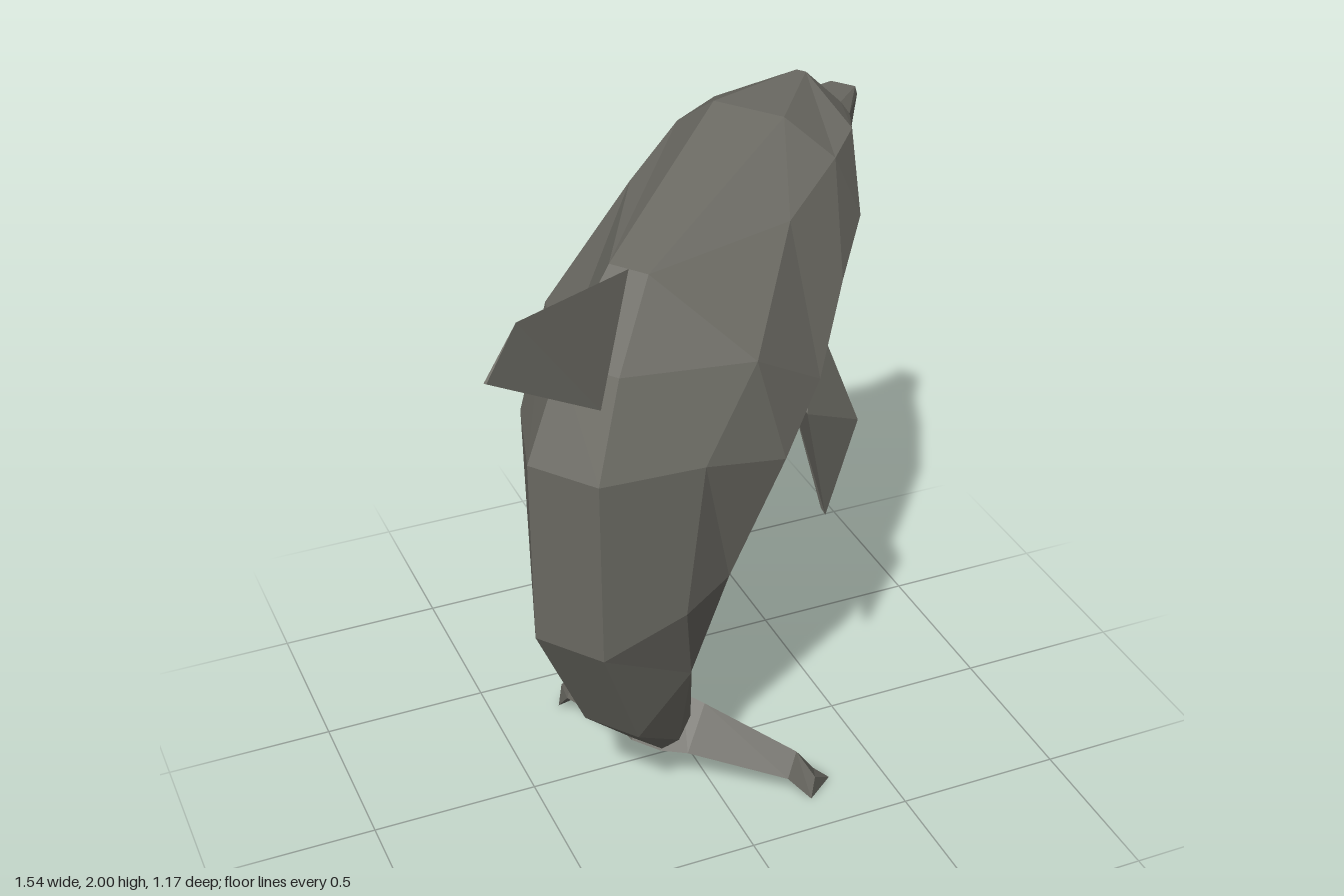
import * as THREE from 'three';

const material = new THREE.MeshStandardMaterial({ color: 0x6a6962, flatShading: true });

// Skins a row of closed rings of [x, y, z] points, with fan caps at both ends.
function loft(name, rings) {
  const n = rings[0].length;
  const index = [];
  for (let r = 0; r < rings.length - 1; r++) {
    for (let i = 0; i < n; i++) {
      const a = r * n + i, b = r * n + (i + 1) % n;
      index.push(a, b, a + n, b, b + n, a + n);
    }
  }
  const last = (rings.length - 1) * n;
  for (let i = 1; i < n - 1; i++) {
    index.push(0, i + 1, i, last, last + i, last + i + 1);
  }

  // A negative volume means the faces point inwards, so turn them round.
  const points = rings.flat().map((p) => new THREE.Vector3(...p));
  let volume = 0;
  for (let i = 0; i < index.length; i += 3) {
    const [a, b, c] = [0, 1, 2].map((k) => points[index[i + k]]);
    volume += a.dot(b.clone().cross(c));
  }
  if (volume < 0) index.reverse();

  const indexed = new THREE.BufferGeometry().setFromPoints(points);
  indexed.setIndex(index);
  const geometry = indexed.toNonIndexed();
  geometry.computeVertexNormals();
  const mesh = new THREE.Mesh(geometry, material);
  mesh.name = name;
  return mesh;
}

export function createModel() {
  const model = new THREE.Group();
  model.name = 'dolphin';

  // Here x runs towards the snout and z across the body.
  const swimmer = new THREE.Group();
  swimmer.name = 'leapingBody';
  swimmer.rotation.y = Math.atan2(0.6, 0.8);
  model.add(swimmer);

  // Body: half sections from tail to snout; back, upper side, lower side, belly
  const sections = [
    [[-0.23, 0.17, 0.05], [-0.2, 0.2, 0.09], [-0.15, 0.26, 0.1], [-0.11, 0.3, 0.07]],
    [[-0.43, 0.37, 0.09], [-0.32, 0.57, 0.2], [-0.23, 0.5, 0.15], [-0.13, 0.46, 0.07]],
    [[-0.635, 0.78, 0.11], [-0.43, 0.86, 0.25], [-0.25, 0.89, 0.28], [-0.12, 0.74, 0.12]],
    [[-0.64, 1.34, 0.11], [-0.4, 1.33, 0.29], [-0.16, 1.26, 0.4], [0.05, 1.09, 0.24]],
    [[-0.5, 1.59, 0.09], [-0.2, 1.56, 0.33], [0.05, 1.4, 0.39], [0.35, 1.26, 0.18]],
    [[-0.3, 1.79, 0.06], [0.12, 1.81, 0.25], [0.25, 1.6, 0.35], [0.47, 1.38, 0.17]],
    [[0.34, 1.995, 0.11], [0.38, 1.89, 0.25], [0.45, 1.7, 0.3], [0.58, 1.5, 0.15]],
    [[0.65, 1.995, 0.015], [0.54, 1.91, 0.22], [0.57, 1.66, 0.18], [0.68, 1.57, 0.08]],
    [[0.77, 1.87, 0.07], [0.77, 1.84, 0.1], [0.77, 1.74, 0.1], [0.79, 1.65, 0.05]],
    [[0.925, 1.855, 0.04], [0.93, 1.83, 0.045], [0.93, 1.8, 0.04], [0.93, 1.77, 0.03]],
  ];
  const bodyRings = sections.map((half) => [
    ...half,
    ...half.map(([x, y, z]) => [x, y, -z]).reverse(),
  ]);
  swimmer.add(loft('body', bodyRings));

  // Dorsal fin: wide base tapering to a thin swept edge
  swimmer.add(loft('dorsalFin', [
    [[-0.3, 1.79, 0], [-0.575, 1.53, 0.08], [-0.575, 1.53, -0.08]],
    [[-0.82, 1.88, 0], [-0.96, 1.78, 0.004], [-0.96, 1.78, -0.004]],
  ]));

  // Flippers, mirrored
  for (const [name, s] of [['nearFlipper', 1], ['farFlipper', -1]]) {
    swimmer.add(loft(name, [
      [[0.4, 1.37, 0.2 * s], [0.06, 1.27, 0.35 * s], [0.2, 1.3, 0.2 * s]],
      [[0.345, 1.11, 0.37 * s], [0.114, 0.92, 0.39 * s], [0.125, 0.93, 0.37 * s]],
    ]));
  }

  // Flukes: wedge sections across the tail; under root, upper root, trailing edge
  const flukeHalf = [
    [0.05, [-0.24, 0.17], [-0.11, 0.3], [0.09, 0.01]],
    [0.12, [-0.2, 0.16], [-0.1, 0.28], [0.1, 0]],
    [0.39, [-0.07, 0.08], [-0.02, 0.15], [0.1, 0]],
    [0.45, [-0.03, 0], [-0.01, 0.07], [0.086, 0]],
  ];
  const flukeRing = (s) => ([z, ...points]) => points.map(([x, y]) => [x, y, z * s]);
  swimmer.add(loft('tailFlukes', [
    ...flukeHalf.map(flukeRing(-1)).reverse(),
    ...flukeHalf.map(flukeRing(1)),
  ]));

  return model;
}
